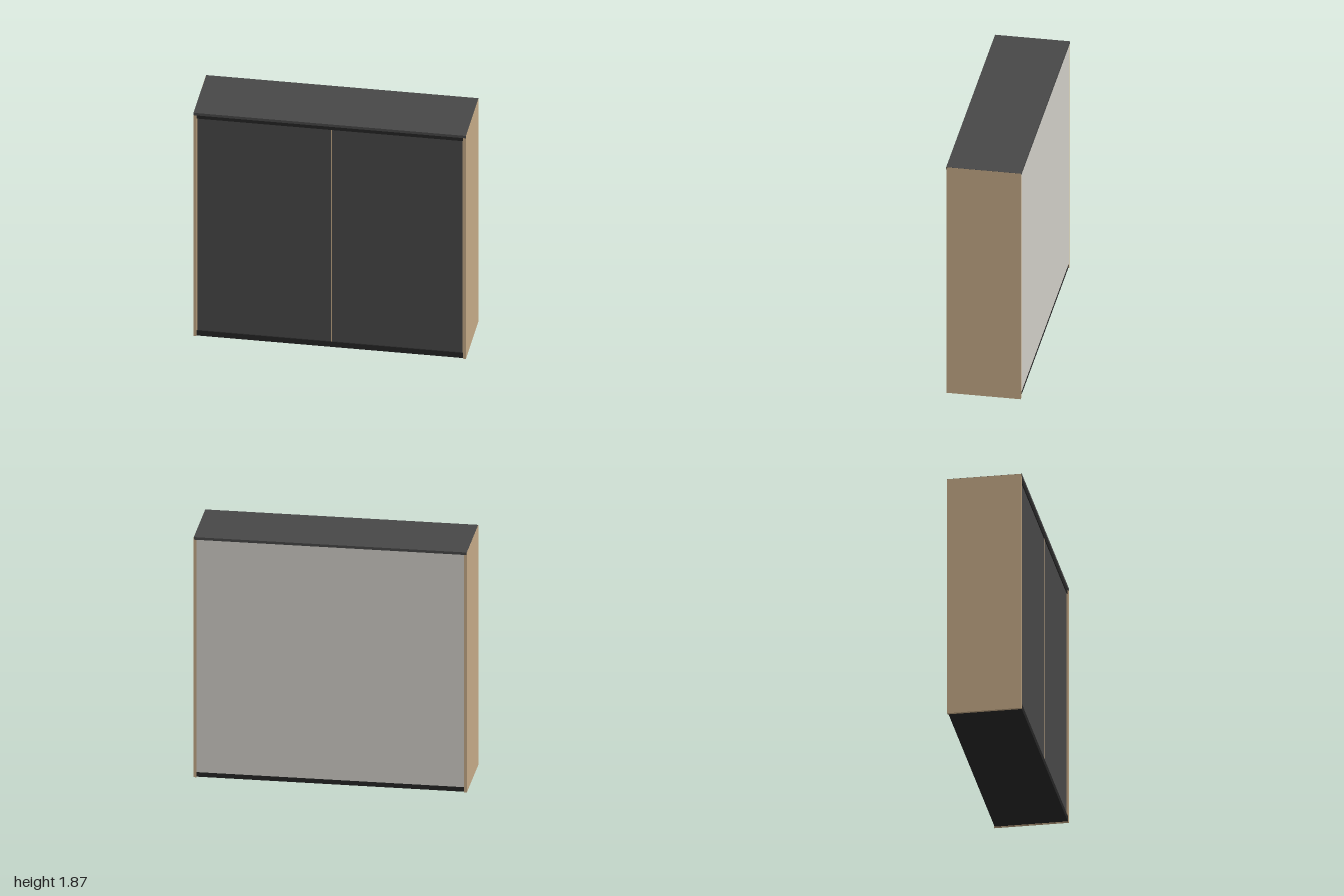
import * as THREE from 'three';

const material = (name, color) => {
  const m = new THREE.MeshStandardMaterial({ color });
  m.name = name;
  return m;
};

export function createModel() {
  const wood = material('tan wood', 0xc4a986);
  const charcoal = material('charcoal', 0x474747);
  const black = material('black trim', 0x252525);
  const grey = material('light grey board', 0xcfcdc6);

  const group = new THREE.Group();
  group.name = 'slidingWardrobe';

  // Box given by its limits along x, y and z
  const panel = (name, mat, [x0, x1], [y0, y1], [z0, z1]) => {
    const mesh = new THREE.Mesh(new THREE.BoxGeometry(x1 - x0, y1 - y0, z1 - z0), mat);
    mesh.position.set((x0 + x1) / 2, (y0 + y1) / 2, (z0 + z1) / 2);
    mesh.name = name;
    group.add(mesh);
  };

  // Carcass: the sides run up to the top board's upper face
  panel('rightSide', wood, [-1, -0.98], [0, 1.869], [-0.274, 0.274]);
  panel('leftSide', wood, [0.98, 1], [0, 1.869], [-0.274, 0.274]);
  panel('topBoard', charcoal, [-0.9995, 0.9995], [1.85, 1.87], [-0.275, 0.275]);
  panel('backBoard', grey, [-0.98, 0.98], [0.04, 1.85], [-0.272, -0.262]);

  // Plinth and the upper track
  panel('plinth', black, [-0.98, 0.98], [0.003, 0.046], [-0.268, 0.27]);
  panel('topRail', black, [-0.98, 0.98], [1.82, 1.846], [0.18, 0.268]);
  panel('railFiller', charcoal, [-0.98, 0.98], [1.846, 1.85], [0.18, 0.262]);

  // Sliding doors
  panel('rightDoor', charcoal, [-0.974, 0.006], [0.046, 1.82], [0.245, 0.262]);
  panel('leftDoor', charcoal, [0.014, 0.972], [0.046, 1.82], [0.245, 0.262]);

  // Upright edge profiles beside the doors
  for (const [x0, x1] of [[-0.98, -0.974], [0.006, 0.014], [0.972, 0.98]]) {
    panel('doorProfile', wood, [x0, x1], [0.046, 1.82], [0.24, 0.264]);
  }

  return group;
}
